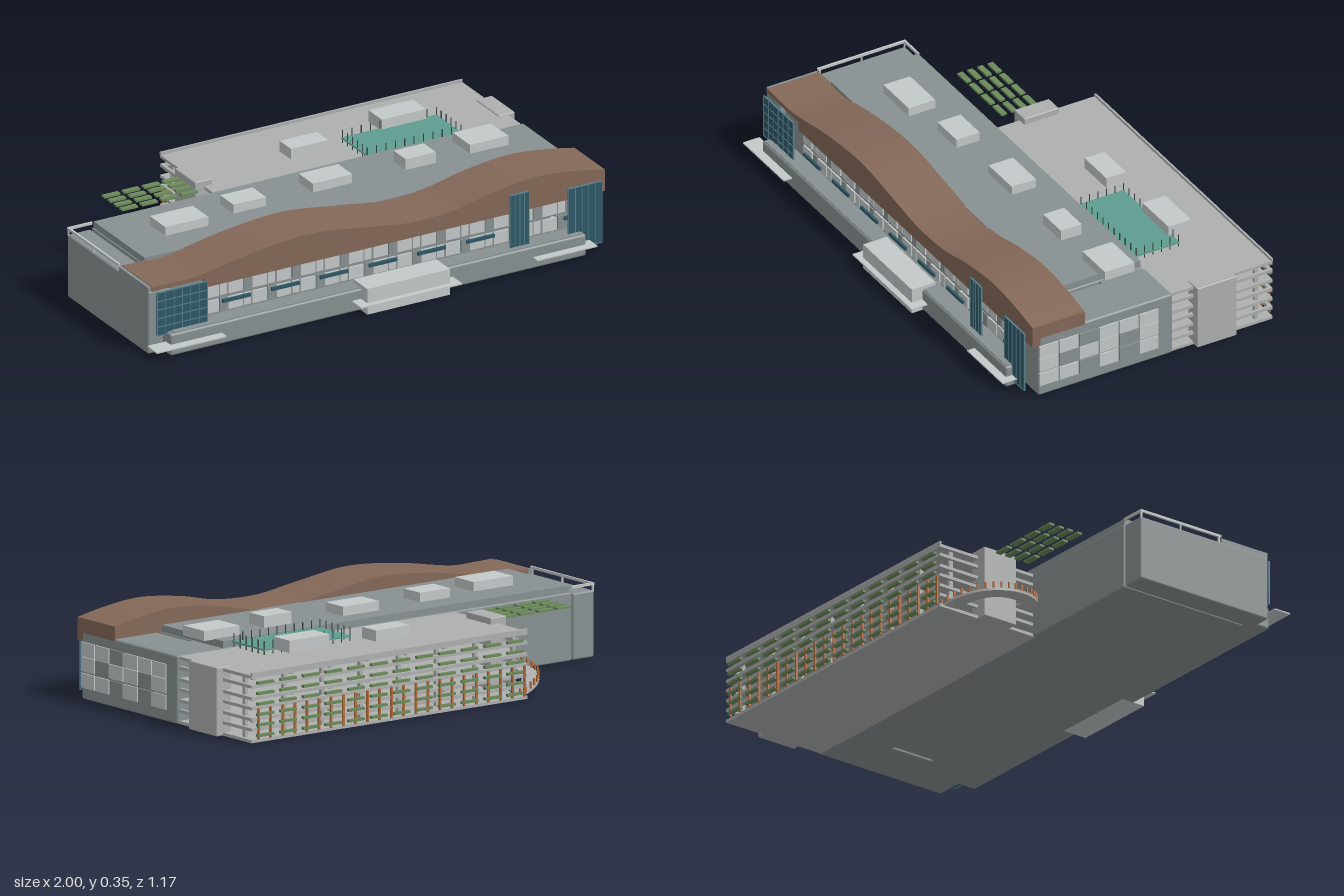
import * as THREE from 'three';
import { RoundedBoxGeometry } from 'three/addons/geometries/RoundedBoxGeometry.js';

const mat = (color) => new THREE.MeshStandardMaterial({ color, side: THREE.DoubleSide });

export function createModel() {
  const root = new THREE.Group();
  const M = {
    wall: mat(0x889091), concrete: mat(0xaeb0af), light: mat(0xc3c8c8), brown: mat(0x846858), teal: mat(0x5f9c90),
    glass: mat(0x2f5866), mullion: mat(0x56808e), green: mat(0x6b8a5a), orange: mat(0xb86c38), dark: mat(0x3c4648),
  };
  const add = (name, geo, m, parent = root) => {
    const mesh = new THREE.Mesh(geo, m);
    mesh.name = name;
    parent.add(mesh);
    return mesh;
  };
  const group = (name) => {
    const g = new THREE.Group();
    g.name = name;
    root.add(g);
    return g;
  };
  // Box given by its min and max on each axis; r rounds the edges
  const box = (name, x0, x1, y0, y1, z0, z1, m, parent = root, r = 0) => {
    const s = [x1 - x0, y1 - y0, z1 - z0];
    const geo = r ? new RoundedBoxGeometry(...s, 2, r) : new THREE.BoxGeometry(...s);
    add(name, geo, m, parent).position.set((x0 + x1) / 2, (y0 + y1) / 2, (z0 + z1) / 2);
  };

  // Main building
  box('mainBlock', -0.88, 0.762, 0, 0.26, -0.14, 0.44, M.wall, root, 0.006);
  box('mainRoof', -0.875, 0.758, 0.25, 0.286, -0.132, 0.245, M.wall);
  box('leftBlock', -0.985, -0.885, 0, 0.255, -0.14, 0.46, M.wall, root, 0.008);
  box('leftParapet', -0.984, -0.97, 0.25, 0.272, 0.24, 0.458, M.wall);
  box('rightBlock', 0.776, 0.98, 0, 0.26, -0.14, 0.44, M.wall, root, 0.008);
  box('linkBack', 0.755, 0.785, 0, 0.258, -0.13, 0.05, M.wall);
  box('linkFront', 0.755, 0.785, 0, 0.255, 0.24, 0.43, M.wall);
  const rail = group('leftRoofRail');
  box('railSide', -0.985, -0.977, 0.274, 0.284, -0.14, 0.24, M.light, rail);
  box('railBack', -0.985, -0.88, 0.274, 0.284, -0.14, -0.132, M.light, rail);
  for (const z of [-0.136, 0.05, 0.23]) box('railPost', -0.984, -0.978, 0.25, 0.277, z - 0.003, z + 0.003, M.light, rail);

  // Wavy fascia and roof along the front
  const wave = [[-0.97, 0.275], [-0.87, 0.273], [-0.765, 0.276], [-0.52, 0.318], [-0.28, 0.336], [-0.04, 0.307],
    [0.144, 0.283], [0.33, 0.29], [0.49, 0.323], [0.68, 0.345], [0.84, 0.333], [0.98, 0.308]].map((p) => new THREE.Vector2(...p));
  const shape = new THREE.Shape();
  shape.moveTo(-0.97, 0.255);
  shape.lineTo(-0.97, 0.275);
  shape.splineThru(wave.slice(1));
  shape.lineTo(0.98, 0.22);
  shape.lineTo(-0.74, 0.22);
  shape.lineTo(-0.74, 0.255);
  const canopy = add('wavyRoof', new THREE.ExtrudeGeometry(shape, { depth: 0.225, bevelEnabled: false, curveSegments: 6 }), M.brown);
  canopy.position.z = 0.24;

  // Front plinth, entrance and paving
  box('plinth', -0.92, 0.87, 0, 0.088, 0.42, 0.516, M.wall, root, 0.008);
  box('plinthCap', -0.9, 0.86, 0.084, 0.091, 0.43, 0.51, M.wall);
  box('entrance', -0.1, 0.257, 0, 0.105, 0.46, 0.562, M.light);
  box('entranceLedge', -0.14, 0.295, 0.042, 0.047, 0.5, 0.585, M.light);
  box('leftLedge', -1, -0.7, 0.042, 0.047, 0.48, 0.552, M.light);
  box('rightLedge', 0.64, 0.9, 0.042, 0.047, 0.48, 0.548, M.light);

  // Front windows and sunshades
  const front = group('frontWindows');
  for (let i = 0; i < 15; i++) {
    const x = -0.735 + i * 0.104;
    for (const y of [0.1, 0.164]) {
      box('window', x, x + 0.062, y, y + 0.05, 0.43, 0.447, M.light, front);
      box('windowNarrow', x + 0.068, x + 0.098, y, y + 0.05, 0.43, 0.445, (i + (y > 0.13)) % 2 ? M.light : M.wall, front);
    }
  }
  const shades = group('sunshades');
  for (let i = 0; i < 8; i++) {
    const x = -0.675 + i * 0.21;
    if (i !== 6) box('sunshade', x, x + 0.12, 0.149, 0.162, 0.475, 0.484, M.glass, shades);
  }

  // Glazed panels with mullions
  const glazed = (name, x0, x1, y0, y1, z, cols, rows) => {
    const g = group(name);
    box('pane', x0, x1, y0, y1, z - 0.005, z, M.glass, g);
    for (let i = 0; i <= cols; i++) {
      const x = x0 + ((x1 - x0) * i) / cols;
      box('mullion', x - 0.0015, x + 0.0015, y0, y1, z - 0.005, z + 0.002, M.mullion, g);
    }
    for (let j = 0; j <= rows; j++) {
      const y = y0 + ((y1 - y0) * j) / rows;
      box('transom', x0, x1, y - 0.0015, y + 0.0015, z - 0.005, z + 0.002, M.mullion, g);
    }
  };
  glazed('leftGlazing', -0.96, -0.745, 0.08, 0.255, 0.485, 6, 5);
  glazed('tallFin', 0.56, 0.64, 0.087, 0.305, 0.487, 4, 1);
  glazed('cornerGlazing', 0.81, 0.955, 0.025, 0.275, 0.487, 5, 1);

  // Side windows, six bays by three floors
  const side = group('sideWindows');
  const solid = ['3', '25', '35'];
  for (let c = 0; c < 6; c++) {
    [0.164, 0.107, 0.045].forEach((y, r) => {
      const z = 0.438 - c * 0.0865;
      box('sideWindow', 0.97, 0.986, y, y + 0.055, z - 0.081, z, solid[r].includes(c + 1) ? M.wall : M.light, side);
    });
  }

  // Roof plant boxes: x0, x1, z0, z1, base, top
  const plant = group('roofUnits');
  for (const [x0, x1, z0, z1, y0, y1] of [
    [-0.71, -0.525, 0, 0.115, 0.28, 0.322], [-0.39, -0.25, -0.03, 0.07, 0.28, 0.322], [-0.04, 0.13, -0.05, 0.055, 0.28, 0.322],
    [0.36, 0.49, -0.035, 0.055, 0.28, 0.33], [0.64, 0.805, -0.078, 0.05, 0.284, 0.322],
    [0.07, 0.23, -0.38, -0.295, 0.255, 0.3], [0.47, 0.66, -0.408, -0.31, 0.275, 0.322],
  ]) box('roofUnit', x0, x1, y0, y1, z0, z1, M.light, plant);

  // Open parking wing: full floors and edge bands between them
  const wing = group('parkingWing');
  for (const y of [0, 0.083, 0.163, 0.245]) box('floorSlab', -0.33, 0.97, y, y + 0.012, -0.578, -0.13, M.concrete, wing);
  for (const y of [0.044, 0.125, 0.208]) {
    box('backBand', -0.33, 0.97, y, y + 0.012, -0.578, -0.562, M.concrete, wing);
    for (const x of [-0.33, 0.958]) box('endBand', x, x + 0.012, y, y + 0.012, -0.575, -0.14, M.concrete, wing);
  }
  box('roofKerb', -0.33, 0.97, 0.255, 0.268, -0.58, -0.572, M.concrete, wing);
  for (let i = 0; i < 8; i++) {
    const x = -0.31 + i * 0.18;
    for (const z of [-0.515, -0.33]) box('column', x - 0.007, x + 0.007, 0, 0.25, z - 0.008, z + 0.008, M.concrete, wing);
  }
  box('rightStairTower', 0.93, 1, 0, 0.262, -0.405, -0.235, M.concrete, wing, 0.004);
  box('leftStairTower', -0.37, -0.295, 0, 0.282, -0.4, -0.25, M.concrete, wing, 0.004);

  // Planters and posts on the back of the wing
  const back = group('backScreen');
  for (let i = 0; i < 12; i++) {
    const x = -0.305 + i * 0.107;
    for (let j = 0; j < 6; j++) box('planter', x, x + 0.075, 0.022 + j * 0.04, 0.032 + j * 0.04, -0.59, -0.576, M.green, back);
  }
  for (let i = 0; i < 23; i++) {
    const x = -0.315 + i * 0.057;
    box('post', x - 0.004, x + 0.004, 0.012, 0.13, -0.585, -0.577, M.orange, back);
  }

  // Curved ramp rising around the end of the wing
  const N = 28, cx = -0.3, cz = -0.355, pos = [], idx = [];
  const rampAt = (t, r) => {
    const a = Math.PI * (0.52 + 0.96 * t);
    return [cx + r * Math.cos(a), 0.122 - 0.108 * (t + 0.06 * Math.sin(2 * Math.PI * t)), cz + r * Math.sin(a)];
  };
  for (let i = 0; i <= N; i++) {
    for (const [r, h] of [[0.14, 0], [0.205, 0], [0.205, -0.01], [0.14, -0.01]]) {
      const p = rampAt(i / N, r);
      pos.push(p[0], p[1] + h, p[2]);
    }
    for (let k = 0; i < N && k < 4; k++) {
      const a = i * 4 + k, b = i * 4 + ((k + 1) % 4);
      idx.push(a, b, b + 4, a, b + 4, a + 4);
    }
  }
  let geo = new THREE.BufferGeometry();
  geo.setAttribute('position', new THREE.Float32BufferAttribute(pos, 3));
  geo.setIndex(idx);
  geo = geo.toNonIndexed();
  geo.computeVertexNormals();
  const ramp = group('curvedRamp');
  add('rampDeck', geo, M.concrete, ramp);
  for (let i = 0; i <= 20; i++) {
    const [x, y, z] = rampAt(i / 20, 0.202);
    box('rampPost', x - 0.003, x + 0.003, y, y + 0.026, z - 0.003, z + 0.003, M.orange, ramp);
  }

  // Slatted green canopy beside the wing
  const slats = group('greenCanopy');
  for (let i = 0; i < 4; i++)
    for (let j = 0; j < 4; j++) {
      const x = -0.71 + i * 0.086, z = -0.357 + j * 0.0435;
      box('slat', x, x + 0.068, 0.26, 0.268, z, z + 0.023, M.green, slats);
    }

  // Roof terrace with railing posts
  const terrace = group('roofTerrace');
  box('terraceDeck', 0.305, 0.715, 0.276, 0.282, -0.325, -0.132, M.teal, terrace);
  const post = (x, z) => box('terracePost', x - 0.0015, x + 0.0015, 0.26, 0.313, z - 0.0015, z + 0.0015, M.dark, terrace);
  for (let i = 0; i <= 10; i++) for (const z of [-0.323, -0.14]) post(0.308 + i * 0.0404, z);
  for (let i = 1; i < 5; i++) for (const x of [0.308, 0.712]) post(x, -0.323 + i * 0.0366);

  return root;
}
